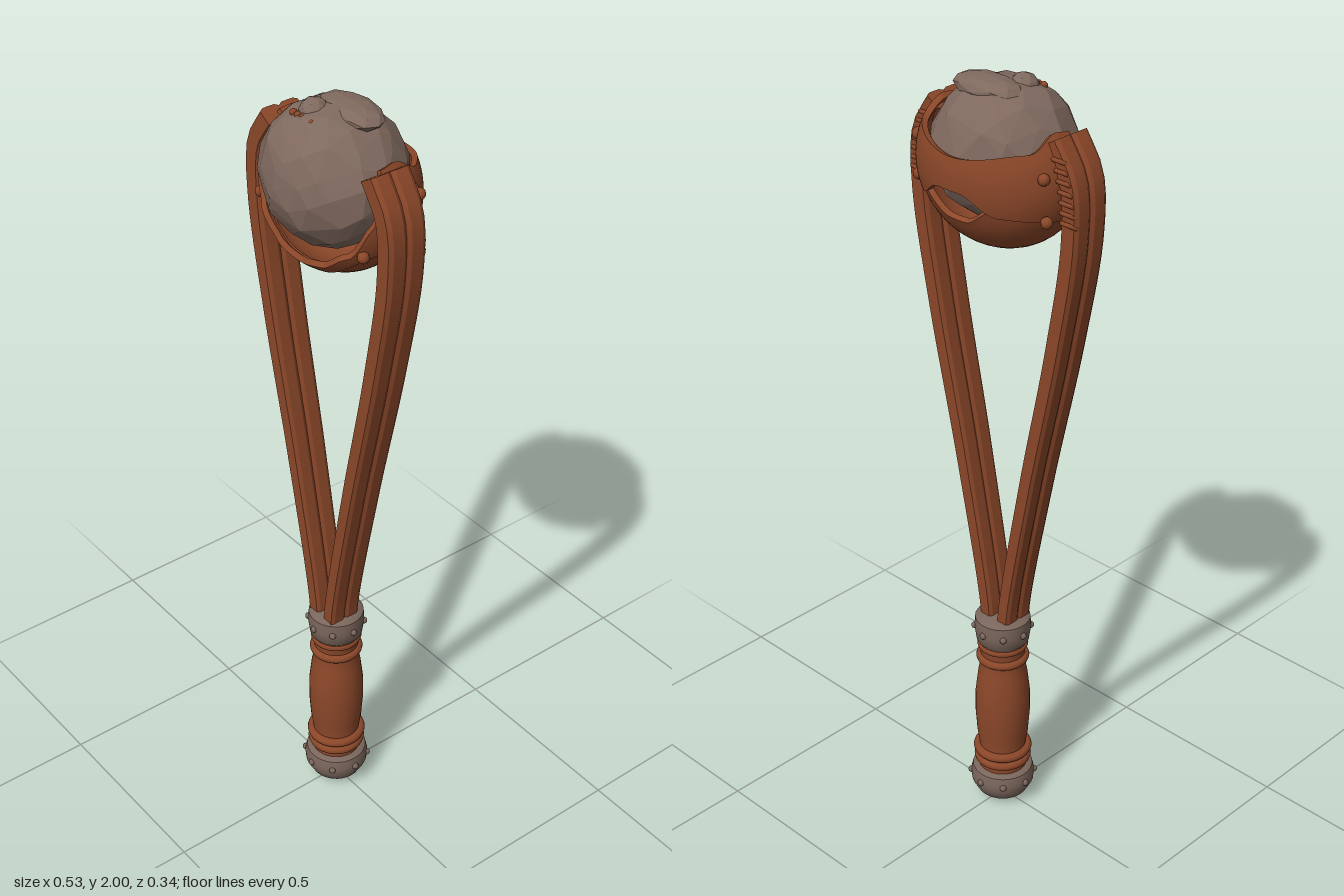
import * as THREE from 'three';
import { toCreasedNormals } from 'three/addons/utils/BufferGeometryUtils.js';
import { ConvexGeometry } from 'three/addons/geometries/ConvexGeometry.js';

const V2 = (x, y) => new THREE.Vector2(x, y);
const V3 = (x, y, z) => new THREE.Vector3(x, y, z);

// Skin a list of closed cross-section rings
function skin(rings, closed, crease = 0.7) {
  const n = rings[0].length, m = rings.length, index = [];
  for (let i = 0; i < (closed ? m : m - 1); i++) {
    for (let j = 0; j < n; j++) {
      const i2 = (i + 1) % m, j2 = (j + 1) % n;
      const a = i * n + j, b = i2 * n + j, c = i2 * n + j2, d = i * n + j2;
      index.push(a, b, c, a, c, d);
    }
  }
  const geo = new THREE.BufferGeometry();
  geo.setAttribute('position', new THREE.Float32BufferAttribute(rings.flat().flatMap(p => [p.x, p.y, p.z]), 3));
  geo.setIndex(index);
  return toCreasedNormals(geo, crease);
}

// Smooth interpolation in a short [key, value] table
function table(keys, x) {
  for (let i = 1; i < keys.length; i++) {
    const [k0, v0] = keys[i - 1], [k1, v1] = keys[i];
    if (x <= k1) return v0 + (v1 - v0) * THREE.MathUtils.smoothstep(x, k0, k1);
  }
  return keys[keys.length - 1][1];
}

// Thick leather shell between two heights that vary around the pouch
function pouchShell(lo, hi, grow) {
  const rings = [], N = 96, ROWS = 10, H = 0.2;
  for (let i = 0; i < N; i++) {
    const phi = i / N * Math.PI * 2;
    const deg = Math.abs(phi > Math.PI ? phi - 2 * Math.PI : phi) * 180 / Math.PI;
    const a = Math.asin(lo(deg) / H), b = Math.asin(hi(deg) / H), ring = [];
    const point = (t, s) => {
      const lat = a + (b - a) * t;
      return V3(0.213 * s * Math.cos(lat) * Math.sin(phi), 1.8 + H * s * Math.sin(lat),
        0.172 * s * Math.cos(lat) * Math.cos(phi));
    };
    for (let j = 0; j <= ROWS; j++) ring.push(point(j / ROWS, grow));
    for (let j = ROWS; j >= 0; j--) ring.push(point(j / ROWS, grow - 0.075));
    rings.push(ring);
  }
  return skin(rings, true);
}

// Flat strap with a shallow groove down both broad faces
function strapGeometry() {
  const path = new THREE.CatmullRomCurve3([[0.026, 0.5], [0.031, 0.6], [0.105, 1.0], [0.19, 1.4],
    [0.235, 1.68], [0.228, 1.82], [0.178, 1.9]].map(([x, y]) => V3(x, y, 0)));
  const section = [[0.75, -1], [1, -0.8], [1, -0.2], [0.75, 0], [1, 0.2], [1, 0.8], [0.75, 1],
    [-0.75, 1], [-1, 0.8], [-1, 0.2], [-0.75, 0], [-1, -0.2], [-1, -0.8], [-0.75, -1]];
  const rings = [], N = 40;
  for (let i = -1; i <= N + 1; i++) {
    const t = THREE.MathUtils.clamp(i / N, 0, 1);
    const p = path.getPointAt(t), d = path.getTangentAt(t);
    const k = i < 0 || i > N ? 0.001 : 1;
    const thick = (0.019 + 0.006 * t) * k, wide = (0.042 + 0.01 * t) * k;
    rings.push(section.map(([u, w]) => V3(p.x + d.y * u * thick, p.y - d.x * u * thick, 0.008 + w * wide)));
  }
  return skin(rings, false, 0.5);
}

// Faceted boulder: hull of unevenly spaced points
function rockGeometry() {
  let seed = 11;
  const rnd = () => (seed = (seed * 16807) % 2147483647) / 2147483647;
  const pts = [], N = 110;
  for (let i = 0; i < N; i++) {
    const y = 1 - 2 * (i + 0.5) / N, a = i * 2.39996 + (rnd() - 0.5) * 0.35;
    const r = Math.sqrt(1 - y * y), k = 0.96 + rnd() * 0.06;
    pts.push(V3(Math.cos(a) * r * k * 0.178, y * k * 0.17, Math.sin(a) * r * k * 0.162));
  }
  return new ConvexGeometry(pts);
}

export function createModel() {
  const leather = new THREE.MeshStandardMaterial({ color: 0x8b4729 });
  leather.name = 'leather';
  const stone = new THREE.MeshStandardMaterial({ color: 0x7f695e, flatShading: true });
  stone.name = 'stone';
  const metal = new THREE.MeshStandardMaterial({ color: 0x7a665c });
  metal.name = 'dull metal';

  const model = new THREE.Group();
  const add = (name, geo, mat, parent = model) => {
    const mesh = new THREE.Mesh(geo, mat);
    mesh.name = name;
    parent.add(mesh);
    return mesh;
  };
  const lathe = pts => toCreasedNormals(new THREE.LatheGeometry(pts.map(p => V2(...p)), 32), 0.7);

  // Handle
  add('pommel', lathe([[0, 0.005], [0.04, 0.01], [0.066, 0.027], [0.081, 0.055], [0.083, 0.078],
    [0.078, 0.1], [0.066, 0.106], [0, 0.106]]), metal);
  add('grip', lathe([[0.062, 0.1], [0.064, 0.13], [0.06, 0.17], [0.066, 0.21], [0.071, 0.28],
    [0.07, 0.34], [0.063, 0.4], [0.055, 0.44], [0.058, 0.47], [0.062, 0.51]]), leather);
  add('collar', lathe([[0, 0.497], [0.06, 0.497], [0.067, 0.505], [0.072, 0.54], [0.07, 0.57],
    [0.062, 0.576], [0, 0.576]]), metal);
  for (const [y, r, tube] of [[0.132, 0.062, 0.012], [0.16, 0.064, 0.012], [0.45, 0.056, 0.012], [0.488, 0.055, 0.01]]) {
    const ring = add('gripRing', new THREE.TorusGeometry(r, tube, 10, 32), leather);
    ring.rotation.x = Math.PI / 2;
    ring.position.y = y;
  }
  // Rivets around the collar and pommel
  for (const [y, r] of [[0.54, 0.071], [0.075, 0.082]]) {
    for (let i = 0; i < 8; i++) {
      const a = i / 8 * Math.PI * 2;
      add('rivet', new THREE.SphereGeometry(0.009, 10, 6), metal)
        .position.set(Math.sin(a) * r, y, Math.cos(a) * r);
    }
  }

  // Boulder with a small knob near the top
  add('boulder', rockGeometry(), stone).position.set(0, 1.828, 0.004);
  const knob = add('boulderKnob', new THREE.IcosahedronGeometry(0.036, 1), stone);
  knob.position.set(-0.03, 1.966, 0.035);
  const ridge = add('boulderRidge', new THREE.IcosahedronGeometry(0.08, 1), stone);
  ridge.scale.set(1.2, 0.35, 0.7);
  ridge.position.set(0.02, 1.972, -0.025);
  for (let i = 0; i < 5; i++) {
    add('boulderLace', new THREE.SphereGeometry(0.009, 8, 6), leather)
      .position.set(-0.055 + i * 0.016, 1.968, 0.072);
  }

  // Pouch: lower cup and upper band, parted by an opening at the back
  const rim = [[0, -0.158], [32, -0.14], [55, -0.09], [72, -0.005], [82, 0.11], [98, 0.115], [125, 0.08], [180, 0.055]];
  const split = [[0, -0.175], [30, -0.165], [80, -0.08], [150, -0.06], [180, -0.06]];
  const gap = d => 0.045 * THREE.MathUtils.smoothstep(d, 146, 172);
  add('pouchCup', pouchShell(() => -0.2, d => table(split, d) + 0.012 - gap(d) * 1.15, 0.99), leather);
  add('pouchBand', pouchShell(d => table(split, d) - 0.006 + gap(d), d => table(rim, d), 1.01), leather);

  // Straps, side lacing and knots, mirrored
  for (const s of [1, -1]) {
    const side = new THREE.Group();
    side.name = s > 0 ? 'leftSide' : 'rightSide';
    side.scale.x = s;
    model.add(side);
    add('strap', strapGeometry(), leather, side);
    for (let i = 0; i < 7; i++) {
      const t = i / 6;
      const lace = add('lace', new THREE.TorusGeometry(0.02, 0.006, 6, 14), leather, side);
      lace.position.set(0.234 - 0.03 * t * t, 1.72 + 0.14 * t, -0.03);
      lace.rotation.set(Math.PI / 2 + 0.5, 0, 0);
      lace.scale.set(1.1, 1, 1);
    }
    for (const [x, y, z] of [[0.2, 1.73, -0.07], [0.195, 1.83, -0.075], [0.185, 1.72, 0.07]]) {
      add('knot', new THREE.SphereGeometry(0.014, 10, 8), leather, side).position.set(x, y, z);
    }
  }
  return model;
}
